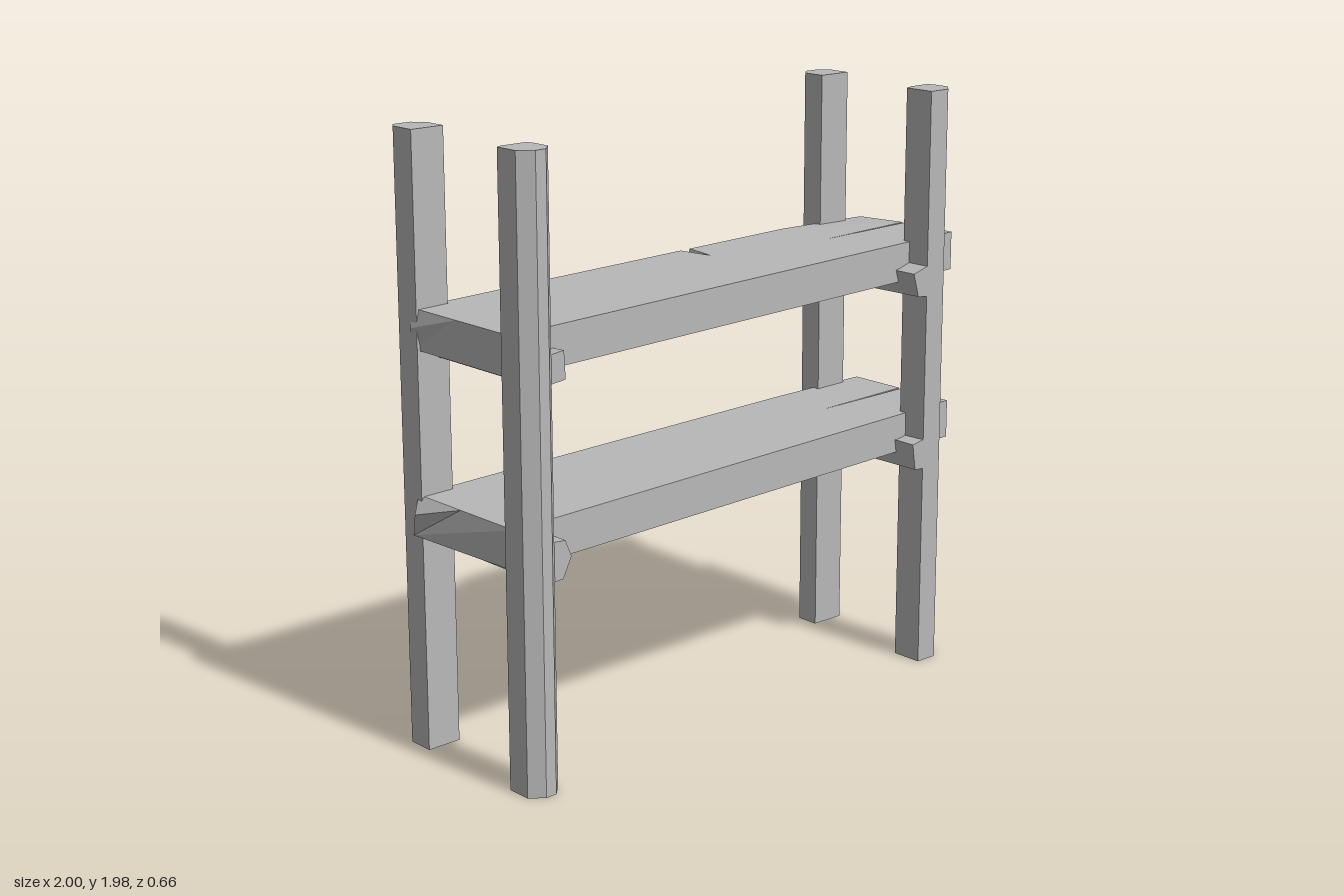
import * as THREE from 'three';

const wood = new THREE.MeshStandardMaterial({ color: 0xb8b8b8 });
wood.name = 'plain grey wood';

// Skin matching rings of [x, y, z] points placed in ascending order along an axis (0, 1, 2).
function loft(name, axis, rings) {
  const u = (axis + 1) % 3, v = (axis + 2) % 3;
  const flat = (ring) => ring.map((p) => new THREE.Vector2(p[u], p[v]));
  if (THREE.ShapeUtils.area(flat(rings[0])) < 0) rings = rings.map((r) => [...r].reverse());
  const pos = [];
  const tri = (a, b, c) => pos.push(...a, ...b, ...c);
  const n = rings[0].length;
  for (let k = 0; k < rings.length - 1; k++) {
    for (let i = 0; i < n; i++) {
      const j = (i + 1) % n, lo = rings[k], hi = rings[k + 1];
      tri(lo[i], lo[j], hi[j]);
      tri(lo[i], hi[j], hi[i]);
    }
  }
  const first = rings[0], last = rings[rings.length - 1];
  for (const [a, b, c] of THREE.ShapeUtils.triangulateShape(flat(first), [])) tri(first[c], first[b], first[a]);
  for (const [a, b, c] of THREE.ShapeUtils.triangulateShape(flat(last), [])) tri(last[a], last[b], last[c]);
  const geo = new THREE.BufferGeometry();
  geo.setAttribute('position', new THREE.Float32BufferAttribute(pos, 3));
  geo.computeVertexNormals();
  const mesh = new THREE.Mesh(geo, wood);
  mesh.name = name;
  return mesh;
}

// Upright post from an [x, z] outline.
function post(name, outline) {
  return loft(name, 1, [0, 1.98].map((y) => outline.map(([x, z]) => [x, y, z])));
}

// Cross beam from [x, y] outlines at its back and front ends.
function beam(name, back, front) {
  return loft(name, 2, [back.map(([x, y]) => [x, y, -0.325]), front.map(([x, y]) => [x, y, 0.29])]);
}

// Sloping plank: split at the right end, pointed back corners, optional notch in the back edge.
function plank(name, base, tips, notched) {
  const section = (x, split, edit = {}) => {
    const t = (x + 0.96) / 1.92;
    const top = base + 0.043 * t, low = top - 0.129;
    const [w, d] = split, front = 0.24 - 0.038 * t;
    const ring = {
      frontLow: [x, low, front], frontTop: [x, top, front],
      splitFront: [x, top, -0.02 + w], splitDeep: [x, top - d, -0.021], splitBack: [x, top, -0.022 - w],
      backTop: [x, top, -0.238 - 0.012 * t], backMid: [x, top - 0.06, -0.265], backLow: [x, low, -0.243],
    };
    for (const key in edit) edit[key].forEach((val, i) => { ring[key][i] += val; });
    return Object.values(ring);
  };
  const none = [0, 0];
  const rings = [section(-0.96, none, tips.left)];
  if (notched) {
    rings.push(section(0.13, none));
    rings.push(section(0.15, none, { backTop: [0, 0, 0.125], backMid: [0, 0, 0.03] }));
    rings.push(section(0.17, none));
  }
  rings.push(section(0.6, none), section(0.96, [0.004, 0.09], tips.right));
  return loft(name, 0, rings);
}

export function createModel() {
  const group = new THREE.Group();
  group.name = 'shelf';

  // Four posts with hewn corners
  group.add(
    post('frontRightPost', [[-0.97, 0.21], [-0.95, 0.2], [-0.86, 0.2], [-0.848, 0.215],
      [-0.848, 0.29], [-0.885, 0.328], [-0.925, 0.33], [-0.97, 0.295]]),
    post('backRightPost', [[-0.97, -0.3], [-0.95, -0.328], [-0.885, -0.328], [-0.85, -0.285],
      [-0.85, -0.21], [-0.97, -0.208]]),
    post('backLeftPost', [[0.75, -0.3], [0.785, -0.333], [0.84, -0.333], [0.873, -0.295],
      [0.873, -0.218], [0.75, -0.218]]),
    post('frontLeftPost', [[0.75, 0.18], [0.785, 0.165], [0.865, 0.165], [0.872, 0.19],
      [0.872, 0.25], [0.83, 0.29], [0.75, 0.29]]),
  );

  // Cross beams carrying each plank
  group.add(
    beam('upperRightBeam', [[-0.89, 1.27], [-0.79, 1.28], [-0.78, 1.33], [-0.88, 1.36]],
      [[-0.89, 1.27], [-0.815, 1.255], [-0.795, 1.28], [-0.8, 1.37], [-0.88, 1.36]].filter((_, i) => i !== 1)),
    beam('lowerRightBeam', [[-0.88, 0.66], [-0.81, 0.665], [-0.78, 0.72], [-0.8, 0.78], [-0.88, 0.79]],
      [[-0.88, 0.66], [-0.815, 0.665], [-0.782, 0.73], [-0.805, 0.785], [-0.88, 0.79]]),
    beam('upperLeftBeam', [[0.7, 1.29], [0.79, 1.28], [0.79, 1.4], [0.69, 1.38]],
      [[0.71, 1.3], [0.785, 1.29], [0.793, 1.41], [0.687, 1.38]]),
    beam('lowerLeftBeam', [[0.7, 0.7], [0.79, 0.69], [0.8, 0.79], [0.69, 0.8]],
      [[0.713, 0.7], [0.8, 0.693], [0.797, 0.807], [0.7, 0.79]]),
  );

  // Two planks with rough ends
  group.add(
    plank('upperPlank', 1.43, {
      left: { backMid: [-0.015, 0, 0.03] },
      right: { backTop: [0.02, -0.015, 0], backMid: [0.04, 0.03, 0.05], backLow: [0.005, 0, 0] },
    }, true),
    plank('lowerPlank', 0.838, {
      left: { backMid: [-0.04, 0.01, 0.06], backLow: [-0.02, 0, 0] },
      right: { backTop: [0, 0, 0.015] },
    }, false),
  );
  return group;
}
